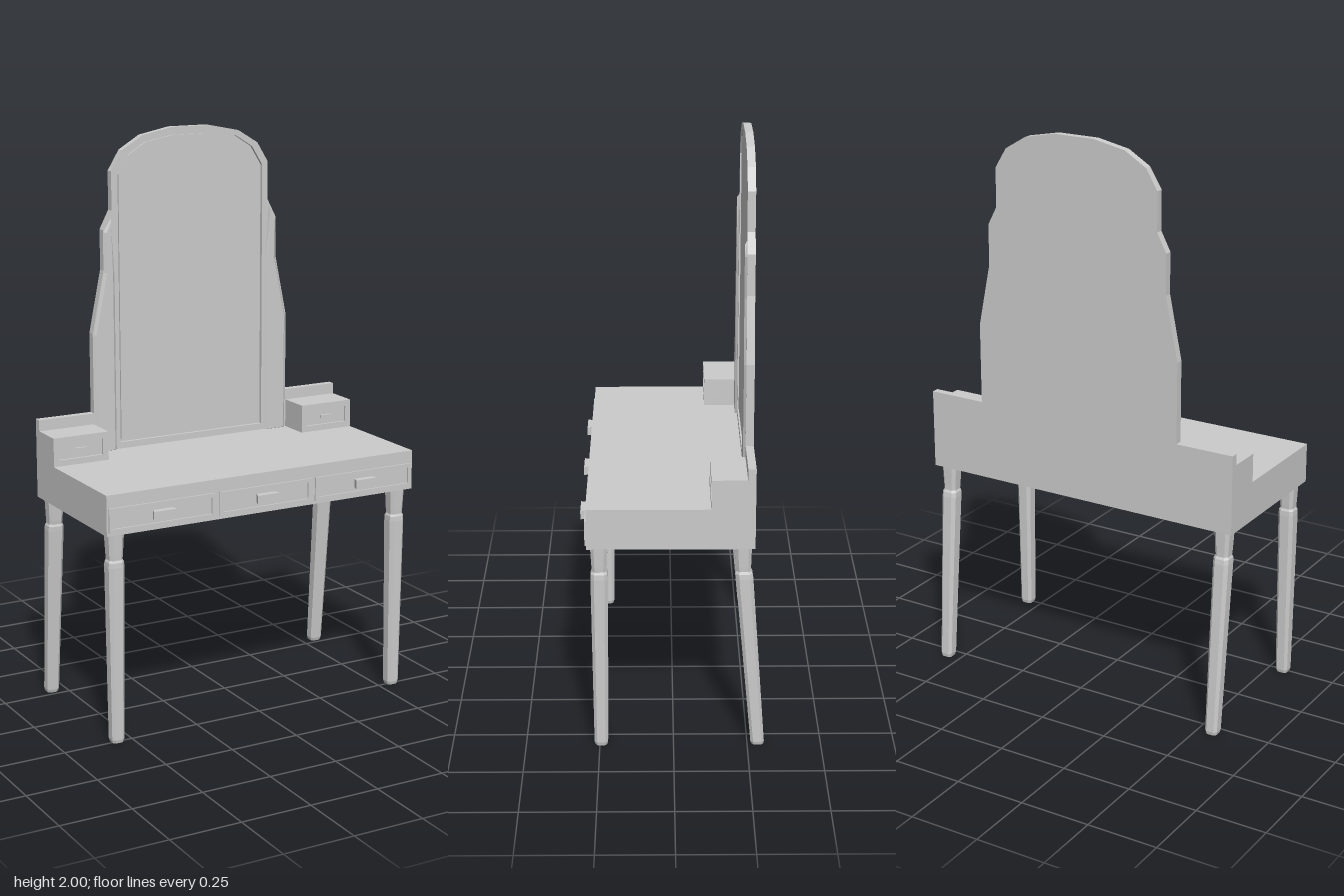
import * as THREE from 'three';

const material = new THREE.MeshStandardMaterial({ color: 0xcccccc, flatShading: true });
const BACK = -0.267;

function add(parent, name, geometry) {
  const mesh = new THREE.Mesh(geometry, material);
  mesh.name = name;
  parent.add(mesh);
  return mesh;
}

// Box given by its lower and upper limits on each axis
function block(parent, name, [x0, x1], [y0, y1], [z0, z1]) {
  const mesh = add(parent, name, new THREE.BoxGeometry(x1 - x0, y1 - y0, z1 - z0));
  mesh.position.set((x0 + x1) / 2, (y0 + y1) / 2, (z0 + z1) / 2);
  return mesh;
}

const points = (list) => list.map(([x, y]) => new THREE.Vector2(x, y));

// Right half of an outline, bottom to top, mirrored into a closed loop
const symmetric = (half) => points([...half, ...half.map(([x, y]) => [-x, y]).reverse()]);

function plate(parent, name, outline, hole, z0, z1) {
  const shape = new THREE.Shape(outline);
  if (hole) shape.holes.push(new THREE.Path(hole));
  const mesh = add(parent, name, new THREE.ExtrudeGeometry(shape, { depth: z1 - z0, bevelEnabled: false }));
  mesh.position.z = z0;
  return mesh;
}

const rect = (w, h) => symmetric([[w / 2, -h / 2], [w / 2, h / 2]]);

// Block whose front face is scaled in width, for flared pulls
function pull(parent, w, h, d, flare, z) {
  const g = new THREE.BoxGeometry(w, h, d);
  const p = g.attributes.position;
  for (let i = 0; i < p.count; i++) if (p.getZ(i) < 0) p.setX(i, p.getX(i) * flare);
  g.computeVertexNormals();
  add(parent, 'drawerPull', g).position.z = z + d / 2;
}

// Framed drawer front with a recessed panel and a pull
function drawer(parent, name, x, y, w, h, border, z0, z1) {
  const group = new THREE.Group();
  group.name = name;
  group.position.set(x, y, 0);
  plate(group, 'drawerFrame', rect(w, h), rect(w - 2 * border, h - 2 * border), z0, z1);
  parent.add(group);
  return group;
}

// Chamfered square leg: rows of [y, half width, centre z]
function leg(parent, name, x, rows) {
  const n = rows.length - 1;
  const g = new THREE.CylinderGeometry(1, 1, 1, 8, n);
  const p = g.attributes.position;
  for (let i = 0; i < p.count; i++) {
    const [y, r, z] = rows[Math.round((0.5 - p.getY(i)) * n)];
    const a = Math.atan2(p.getZ(i), p.getX(i));
    const centre = Math.hypot(p.getX(i), p.getZ(i)) < 0.5;
    // each of the 8 corners sits beside a corner of the square
    const k = Math.round(a / (Math.PI / 4)) + 8;
    const corner = Math.PI / 4 + Math.floor((k % 8) / 2) * Math.PI / 2;
    let cx = Math.SQRT2 * Math.cos(corner), cz = Math.SQRT2 * Math.sin(corner);
    if (k % 2 === 0) (k % 4 === 0 ? (cz *= 0.6) : (cx *= 0.6));
    else (k % 4 === 1 ? (cx *= 0.6) : (cz *= 0.6));
    p.setXYZ(i, centre ? 0 : cx * r, y, z + (centre ? 0 : cz * r));
  }
  g.computeVertexNormals();
  add(parent, name, g).position.x = x;
}

export function createModel() {
  const model = new THREE.Group();
  model.name = 'dressingTable';

  // Table body
  block(model, 'tableBody', [-0.6, 0.6], [0.737, 0.877], [BACK, 0.285]);

  // Three wide drawers along the front
  for (const [x, w] of [[-0.395, 0.396], [0, 0.36], [0.395, 0.396]]) {
    const d = drawer(model, 'frontDrawer', x, 0.79, w, 0.084, 0.013, 0.284, 0.291);
    pull(d, 0.086, 0.03, 0.024, 0.82, 0.285);
  }

  for (const s of [-1, 1]) {
    const span = (a, b) => (s > 0 ? [a, b] : [-b, -a]);

    // Back ledge and small drawer box on each side
    block(model, 'backLedge', span(0.39, 0.6), [0.877, 1.017], [BACK, -0.24]);
    block(model, 'sideBox', span(0.392, 0.6), [0.877, 0.978], [-0.24, -0.131]);
    const front = new THREE.Group();
    front.name = 'sideBoxFront';
    front.position.set(s * 0.496, 0.9275, 0);
    plate(front, 'boxFace', rect(0.208, 0.101), rect(0.166, 0.058), -0.131, -0.122);
    pull(front, 0.044, 0.012, 0.009, 0.85, -0.131);
    model.add(front);

    // Raised wing beside the mirror
    const wing = points([[0.312, 0.878], [0.378, 0.878], [0.378, 1.295], [0.335, 1.51],
      [0.335, 1.65], [0.318, 1.685], [0.312, 1.5]].map(([x, y]) => [s * x, y]));
    const g = new THREE.ExtrudeGeometry(new THREE.Shape(wing),
      { depth: 0.002, bevelThickness: 0.008, bevelSize: 0.009, bevelSegments: 1 });
    add(model, 'mirrorWing', g).position.z = -0.242;

    // Straight front legs and splayed rear legs
    leg(model, 'frontLeg', s * 0.555, [[0.74, 0.029, 0.245], [0.66, 0.025, 0.245], [0.645, 0.024, 0.245],
      [0.637, 0.028, 0.245], [0.62, 0.029, 0.245], [0.012, 0.023, 0.245], [0, 0.02, 0.245]]);
    leg(model, 'rearLeg', s * 0.555, [[0.74, 0.029, -0.228], [0.66, 0.025, -0.23], [0.645, 0.024, -0.231],
      [0.637, 0.028, -0.232], [0.62, 0.029, -0.234], [0.012, 0.023, -0.284], [0, 0.02, -0.285]]);
  }

  // Mirror frame with stepped outline and arched opening
  const outline = symmetric([[0.39, 0.877], [0.39, 1.3], [0.345, 1.52], [0.345, 1.66], [0.311, 1.725],
    [0.311, 1.86], [0.268, 1.93], [0.19, 1.977], [0.075, 2]]);
  const opening = symmetric([[0.288, 0.9], [0.288, 1.85], [0.246, 1.918], [0.178, 1.96], [0.07, 1.979]]);
  plate(model, 'mirrorBacking', outline, null, BACK, -0.252);
  plate(model, 'mirrorFrame', outline, opening, -0.252, -0.24);

  // Glass set into the frame with a narrow groove around it
  const glass = symmetric([[0.281, 0.907], [0.281, 1.847], [0.241, 1.912], [0.175, 1.953], [0.069, 1.972]]);
  plate(model, 'mirrorGlass', glass, null, -0.252, -0.245);

  return model;
}
